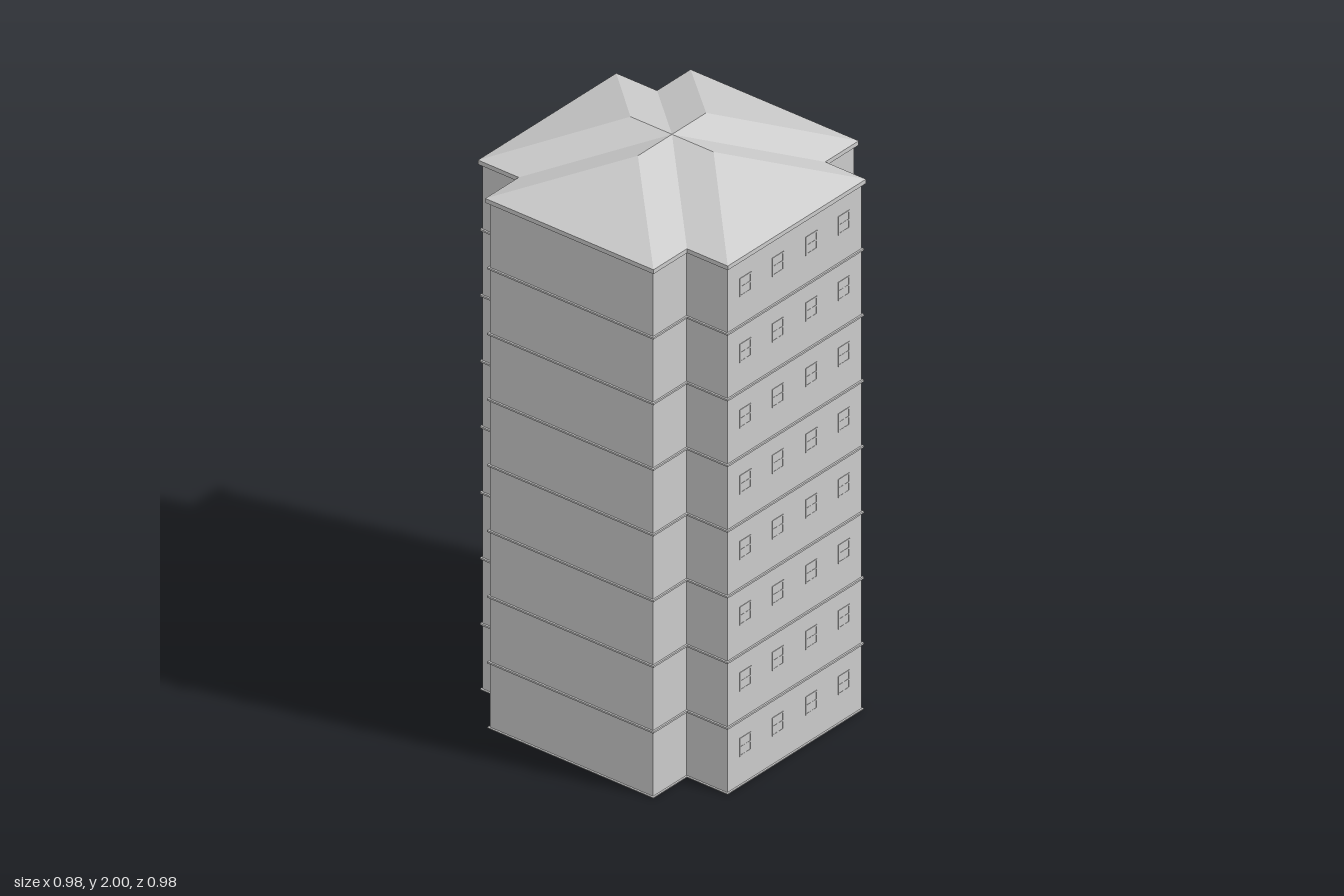
import * as THREE from 'three';
import { mergeGeometries } from 'three/addons/utils/BufferGeometryUtils.js';

const LENGTH = 0.48;   // centre to the end of an arm
const WIDTH = 0.32;    // half width of an arm
const FLOORS = 8;
const FLOOR_H = 0.2325;
const WALL_TOP = FLOORS * FLOOR_H;
const EAVE = 0.01;     // roof overhang
const EAVE_TOP = 1.875;
const RIDGE = 2;

const grey = new THREE.MeshStandardMaterial({
  color: 0xcccccc, flatShading: true, side: THREE.DoubleSide,
});

function trianglesToGeometry(points) {
  const g = new THREE.BufferGeometry();
  g.setAttribute('position', new THREE.Float32BufferAttribute(points.flat(), 3));
  g.computeVertexNormals();
  return g;
}

// Cross-shaped plan, moved outward by an offset
function crossOutline(offset) {
  const l = LENGTH + offset, w = WIDTH + offset, out = [];
  let arm = [[-w, l], [w, l], [w, w]];
  for (let k = 0; k < 4; k++) {
    out.push(...arm);
    arm = arm.map(([x, z]) => [z, -x]);
  }
  // each inner corner joins two arms
  return out;
}

// Carries a profile of [offset, y] points around the cross
function sweepAroundCross(profile) {
  const rings = profile.map(([o, y]) => crossOutline(o).map(([x, z]) => [x, y, z]));
  const pts = [];
  for (let r = 0; r < rings.length - 1; r++) {
    const lo = rings[r], hi = rings[r + 1];
    for (let i = 0; i < lo.length; i++) {
      const j = (i + 1) % lo.length;
      pts.push(lo[i], lo[j], hi[j], lo[i], hi[j], hi[i]);
    }
  }
  return trianglesToGeometry(pts);
}

// Four hipped arms meeting at the centre with valleys between them
function roofGeometry() {
  const l = LENGTH + EAVE, w = WIDTH + EAVE, e = EAVE_TOP;
  const a = [w, e, l], b = [-w, e, l], vr = [w, e, w], vl = [-w, e, w];
  const ridgeEnd = [0, RIDGE, l - w + 0.003], c = [0, RIDGE, 0];
  const arm = trianglesToGeometry([
    b, a, ridgeEnd,
    a, vr, c, a, c, ridgeEnd,
    ridgeEnd, c, vl, ridgeEnd, vl, b,
  ]);
  return mergeGeometries([0, 1, 2, 3].map(k => arm.clone().rotateY(k * Math.PI / 2)));
}

function box(w, h, d, x, y, z) {
  return new THREE.BoxGeometry(w, h, d).translate(x, y, z);
}

// Shallow window: pane, sill, transom, head and three uprights
function windowGeometry() {
  const w = 0.055, h = 0.065, parts = [box(w, h, 0.002, 0, 0, 0)];
  for (const s of [-1, 0, 1]) {
    parts.push(box(w, 0.005, 0.004, 0, s * (h - 0.005) / 2, 0));
    parts.push(box(0.005, h, 0.004, s * (w - 0.005) / 2, 0, 0));
  }
  return mergeGeometries(parts);
}

export function createModel() {
  const model = new THREE.Group();
  model.name = 'towerBlock';
  const add = (name, geometry, parent = model) => {
    const mesh = new THREE.Mesh(geometry, grey);
    mesh.name = name;
    parent.add(mesh);
    return mesh;
  };

  // Hollow walls, open underneath
  add('walls', sweepAroundCross([[0, 0], [0, WALL_TOP]]));

  // Plinth edge and a thin string course at each storey
  for (let f = 0; f < FLOORS; f++) {
    const y = f * FLOOR_H, lo = Math.max(0, y - 0.003), hi = y + 0.003;
    add(f ? 'stringCourse' : 'plinth',
      sweepAroundCross([[0, lo], [0.006, lo], [0.006, hi], [0, hi]]));
  }

  // Eaves board and roof
  add('eaves', sweepAroundCross([[0, WALL_TOP], [EAVE, WALL_TOP], [EAVE, EAVE_TOP]]));
  add('roof', roofGeometry());

  // Windows on both sides and the back; the front is blank
  const pane = windowGeometry();
  const arms = [
    { name: 'leftWindows', turn: 1, sides: [1] },
    { name: 'backWindows', turn: 2, sides: [-1, 1] },
    { name: 'rightWindows', turn: 3, sides: [-1] },
  ];
  for (const { name, turn, sides } of arms) {
    const panes = [];
    for (let f = 0; f < FLOORS; f++) {
      const y = f * FLOOR_H + 0.135;
      let columns = [-0.235, -0.08, 0.08, 0.235];
      if (f === 0 && turn === 2) columns = [-0.2, 0.2];
      if (f === 0 && turn === 3) columns = [];
      for (const x of columns) panes.push(pane.clone().translate(x, y, LENGTH));
      for (const s of sides) {
        panes.push(pane.clone().rotateY(s * Math.PI / 2)
          .translate(s * WIDTH, y, (LENGTH + WIDTH) / 2));
      }
    }
    add(name, mergeGeometries(panes)).rotation.y = turn * Math.PI / 2;
  }

  // Entrance in the middle of the back
  add('door', box(0.13, 0.16, 0.004, 0, 0.08, -LENGTH));

  return model;
}
